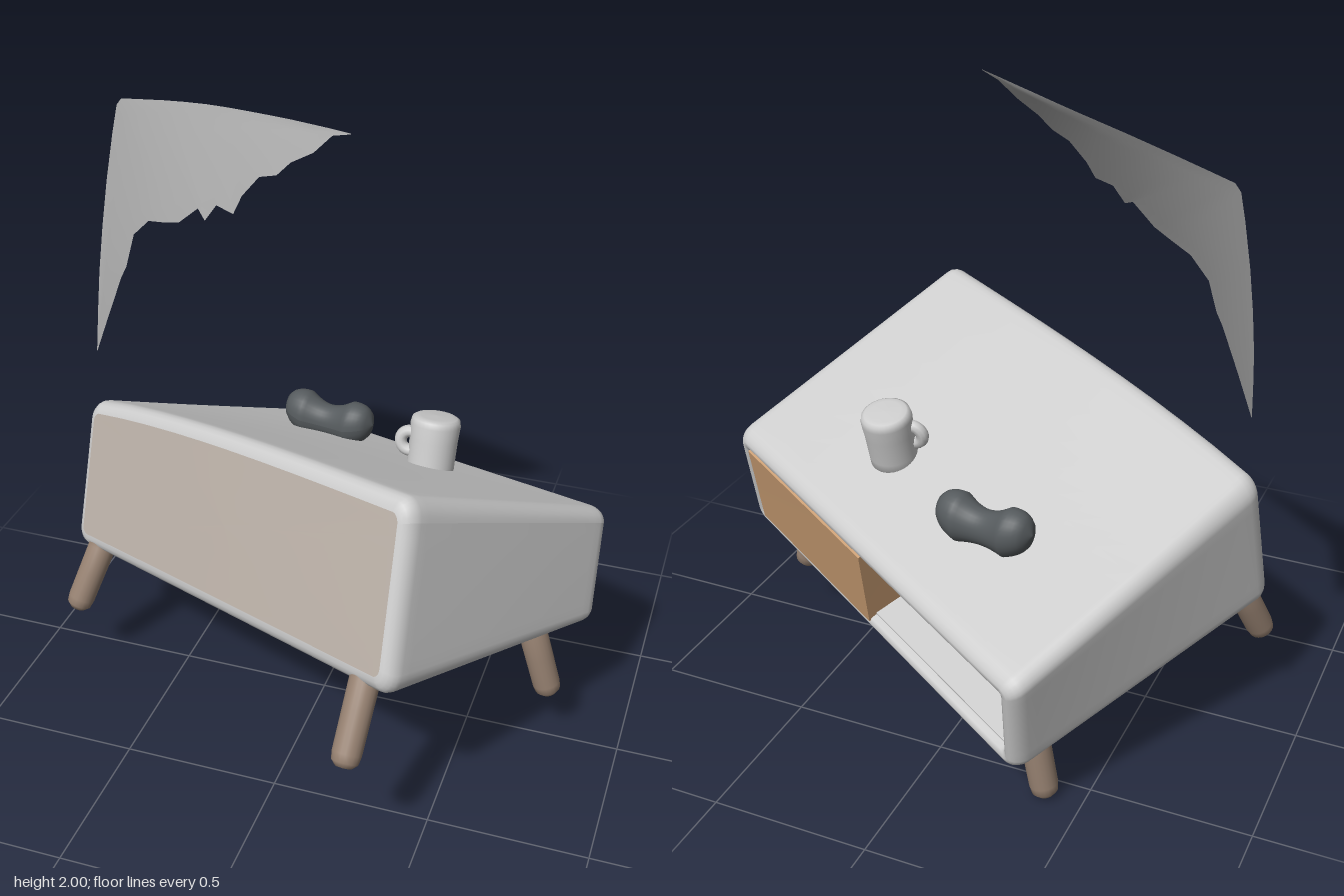
import * as THREE from 'three';

const V = (x, y, z) => new THREE.Vector3(x, y, z);
const UP = V(0, 1, 0);
const mat = (color = 0xcccccc, side = THREE.FrontSide) =>
  new THREE.MeshStandardMaterial({ color, side, roughness: 0.9 });

// Corners of the tilted cabinet: back-right, back-left, front-right, front-left
const bottom = [V(-0.36, 0.21, -0.75), V(0.86, 0.42, -0.1), V(-0.855, 0.45, 0.06), V(0.42, 0.645, 0.725)];
const top = [V(-0.385, 0.56, -0.84), V(0.86, 0.785, -0.19), V(-0.83, 0.925, -0.08), V(0.42, 1.18, 0.53)];

// Maps u (along the open back), v (up), w (back to front), each 0..1, into the cabinet;
// the upper front edge bows upward
function place(u, v, w) {
  const [a, b, c] = [u, v, w].map((t) => (t - 0.5) * 1.02 + 0.5);
  const quad = (q) => q[0].clone().lerp(q[1], a).lerp(q[2].clone().lerp(q[3], a), c);
  const p = quad(bottom).lerp(quad(top), b);
  p.y += 0.035 * Math.sin(Math.PI * THREE.MathUtils.clamp(u, 0, 1) ** 0.75) * v * w * w;
  return p;
}

function mesh(name, geometry, material) {
  const m = new THREE.Mesh(geometry, material);
  m.name = name;
  return m;
}

// Surface through equal rows of points
function surface(rows) {
  const n = rows[0].length, index = [];
  for (let i = 0; i < rows.length - 1; i++)
    for (let j = 0; j < n - 1; j++) {
      const a = i * n + j, b = a + n;
      index.push(a, a + 1, b + 1, a, b + 1, b);
    }
  const g = new THREE.BufferGeometry().setFromPoints(rows.flat());
  g.setIndex(index);
  g.computeVertexNormals();
  return g;
}

// Rounded rectangle across the cabinet at depth w, with its straight sides divided
const LENGTH = 1.41, HEIGHT = 0.43, DEPTH = 0.92;
function ring(inset, r, w, scale = 1) {
  const a = LENGTH / 2 - inset - r, b = HEIGHT / 2 - inset - r, pts = [];
  const corners = [[a, b], [-a, b], [-a, -b], [a, -b]];
  const add = (x, y) => pts.push(place(0.5 + x * scale / LENGTH, 0.5 + y * scale / HEIGHT, w / DEPTH));
  corners.forEach(([x, y], q) => {
    for (let k = 0; k <= 6; k++) {
      const t = (q + k / 6) * Math.PI / 2;
      add(x + r * Math.cos(t), y + r * Math.sin(t));
    }
    const [nx, ny] = corners[(q + 1) % 4], t = (q + 1) * Math.PI / 2;
    for (let k = 1; k < 10; k++)
      add(x + (nx - x) * k / 10 + r * Math.cos(t), y + (ny - y) * k / 10 + r * Math.sin(t));
  });
  pts.push(pts[0].clone());
  return pts;
}

// Shell in three surfaces: dark recess, outer walls with rim, warm front
function cabinetShell() {
  const R = 0.05, rim = 0.06;
  const recess = [ring(rim, 0.02, 0.45, 0), ring(rim + 0.02, 0.02, 0.45), ring(rim, 0.02, 0.445),
    ring(rim, 0.02, 0.42), ring(rim, 0.02, 0.03)];
  const edge = (k) => {
    const t = (k / 5) * Math.PI / 2;
    return [R * (1 - Math.sin(t)) * 0.8, R * (1 - Math.cos(t))];
  };
  const walls = [ring(rim, 0.02, 0.03), ring(rim - 0.003, 0.022, 0.008)];
  for (let k = 0; k <= 5; k++) {
    const [inset, w] = edge(k);
    walls.push(ring(inset, R - inset * 0.7, w));
  }
  for (let k = 0; k <= 6; k++) walls.push(ring(0, R, R + 0.03 + (DEPTH - 2 * R - 0.06) * k / 6));
  for (let k = 5; k >= 0; k--) {
    const [inset, w] = edge(k);
    walls.push(ring(inset, R - inset * 0.7, DEPTH - w));
  }
  const front = [walls.at(-1), ring(0.06, 0.03, DEPTH), ring(0.07, 0.03, DEPTH, 0.5), ring(0.07, 0.03, DEPTH, 0)];
  const g = new THREE.Group();
  g.name = 'cabinetShell';
  g.add(mesh('recess', surface(recess), mat(0x665d54)), mesh('outerWalls', surface(walls), mat(0xd2d1d0)),
    mesh('frontPanel', surface(front), mat(0xb9afa6)));
  return g;
}

// Box laid into the cabinet's own directions
function innerBox(u0, u1, v0, v1, w0, w1) {
  const g = new THREE.BoxGeometry(u1 - u0, v1 - v0, w1 - w0);
  g.translate((u0 + u1) / 2, (v0 + v1) / 2, (w0 + w1) / 2);
  const p = g.attributes.position;
  for (let i = 0; i < p.count; i++) {
    const q = place(p.getX(i), p.getY(i), p.getZ(i));
    p.setXYZ(i, q.x, q.y, q.z);
  }
  g.computeVertexNormals();
  return g;
}

function leg(from, to) {
  const d = to.clone().sub(from), len = d.length();
  const profile = [[0, -0.03], [0.03, -0.025], [0.046, 0], [0.045, len * 0.4], [0.044, len - 0.04],
    [0.04, len - 0.015], [0.025, len], [0, len + 0.004]].map(([x, y]) => new THREE.Vector2(x, y));
  const m = mesh('leg', new THREE.LatheGeometry(profile, 20), mat(0x958070));
  m.position.copy(from);
  m.quaternion.setFromUnitVectors(UP, d.normalize());
  return m;
}

// Curved torn sheet: each row runs from its outer edge to its ragged inner edge
function tornSheet() {
  const pairs = [[-0.8, 1.12, -0.798, 1.12], [-0.808, 1.25, -0.75, 1.25], [-0.813, 1.36, -0.7, 1.39],
    [-0.813, 1.5, -0.68, 1.43], [-0.808, 1.64, -0.66, 1.53], [-0.797, 1.78, -0.6, 1.59],
    [-0.787, 1.865, -0.53, 1.61], [-0.77, 1.887, -0.47, 1.63], [-0.7, 1.9, -0.4, 1.69],
    [-0.6, 1.918, -0.365, 1.67], [-0.52, 1.931, -0.33, 1.72], [-0.44, 1.943, -0.26, 1.72],
    [-0.36, 1.953, -0.24, 1.77], [-0.28, 1.962, -0.19, 1.83], [-0.2, 1.971, -0.13, 1.85],
    [-0.12, 1.98, -0.09, 1.89], [-0.04, 1.988, -0.02, 1.93], [0.02, 1.994, 0.03, 1.98], [0.09, 2, 0.09, 1.998]];
  return surface(pairs.map(([ox, oy, ix, iy]) => Array.from({ length: 9 }, (_, k) => {
    const x = ox + (ix - ox) * k / 8, y = oy + (iy - oy) * k / 8;
    const bulge = 0.62 * Math.max(0, x + 0.8) * Math.max(0, 1.9 + 0.1 * (x + 0.8) - y);
    const bow = 0.022 * (1 - k / 8) * Math.sin(Math.PI * Math.max(0, x + 0.78) / 0.87);
    return V(x, y, -0.32 + 0.46 * (x + 0.78) - 0.33 * (y - 1.88) + bulge - bow);
  })));
}

function mug() {
  const g = new THREE.Group();
  g.name = 'mug';
  const profile = [[0, -0.03], [0.076, -0.03], [0.076, 0.02], [0.077, 0.1], [0.08, 0.15], [0.076, 0.168],
    [0.066, 0.174], [0.05, 0.176], [0, 0.178]].map(([x, y]) => new THREE.Vector2(x, y));
  g.add(mesh('mugBody', new THREE.LatheGeometry(profile, 32), mat()));
  const handle = mesh('mugHandle', new THREE.TorusGeometry(0.032, 0.02, 10, 24), mat());
  handle.position.set(-0.07, 0.085, 0.02);
  g.add(handle);
  g.position.set(0.29, 0.82, -0.195);
  g.quaternion.setFromUnitVectors(UP, V(0.03, 0.96, -0.24).normalize());
  return g;
}

// Two-lobed controller, pinched and dipped in the middle
function controller() {
  const profile = [];
  for (let i = 0; i <= 24; i++) {
    const s = -1 + i / 12;
    const r = Math.pow(Math.max(0, 1 - s ** 4), 0.5) * (0.052 + 0.022 * Math.min(1, Math.abs(s) * 2) ** 2);
    profile.push(new THREE.Vector2(r, s * 0.163));
  }
  const geo = new THREE.LatheGeometry(profile, 28);
  geo.rotateZ(-Math.PI / 2);
  const p = geo.attributes.position;
  for (let i = 0; i < p.count; i++) {
    p.setY(i, p.getY(i) * 1.08 - 0.012 * Math.cos(p.getX(i) * 18));
    p.setZ(i, p.getZ(i) * 0.94);
  }
  geo.computeVertexNormals();
  const m = mesh('controller', geo, mat(0x565b5e));
  m.position.set(-0.125, 0.8, -0.43);
  m.rotation.y = -0.16;
  return m;
}

export function createModel() {
  const model = new THREE.Group();
  model.name = 'tiltedCabinet';
  model.add(cabinetShell());
  model.add(mesh('cabinetDoor', innerBox(0.515, 0.957, 0.11, 0.86, 0, 0.48), mat(0xc89c72)));
  model.add(mesh('recessFloor', innerBox(0.045, 0.52, 0.135, 0.155, 0.03, 0.47), mat()));

  // Splayed round legs
  const legs = [[V(-0.335, 0.25, -0.57), V(-0.385, 0.005, -0.575)], [V(0.335, 0.645, 0.62), V(0.32, 0.42, 0.79)],
    [V(0.695, 0.42, 0.01), V(0.765, 0.19, 0.015)], [V(-0.765, 0.455, 0.07), V(-0.83, 0.25, 0.16)]];
  for (const [from, to] of legs) model.add(leg(from, to));

  model.add(mug(), controller());
  model.add(mesh('tornSheet', tornSheet(), mat(0xa6a6a6, THREE.DoubleSide)));
  return model;
}
